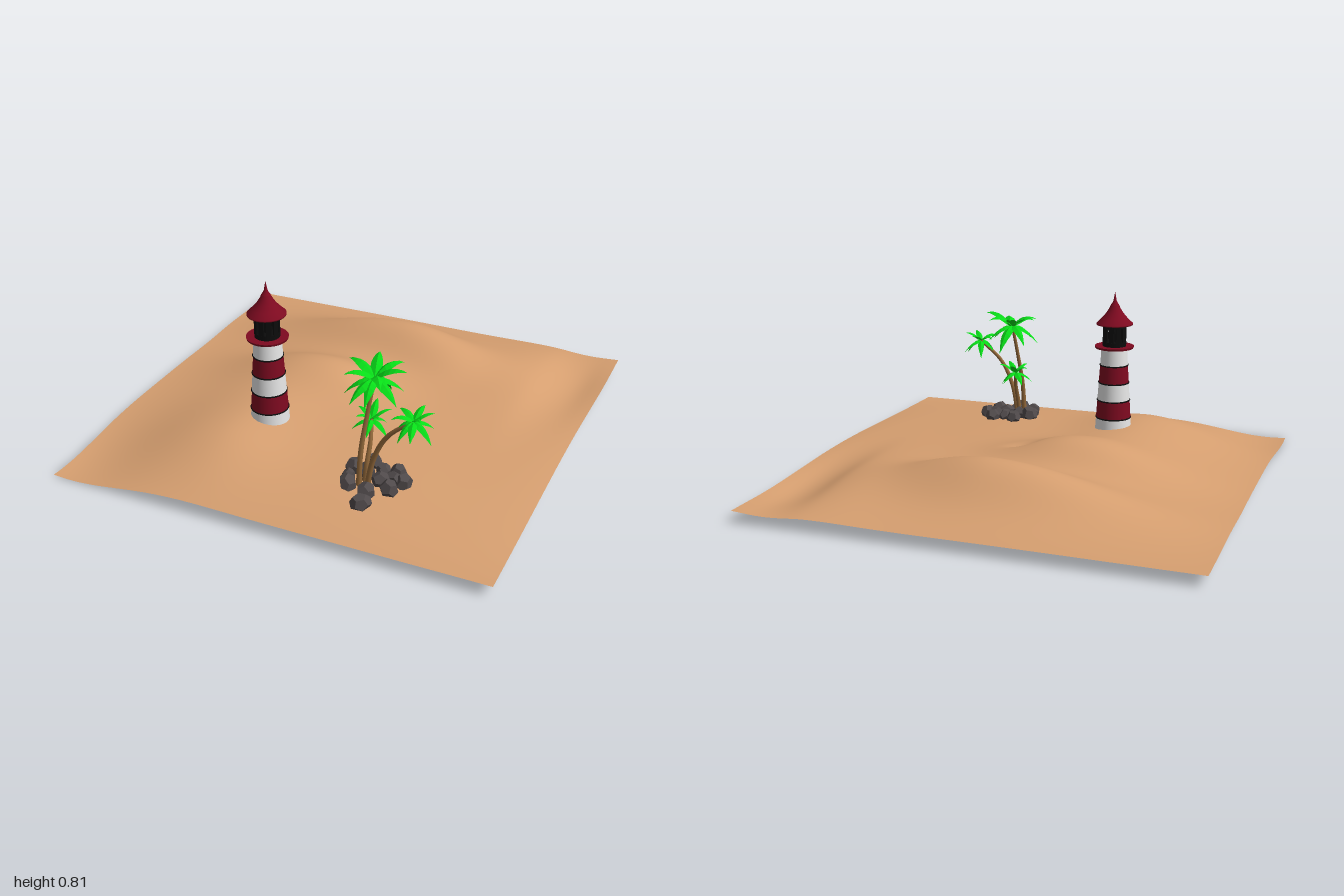
import * as THREE from 'three';

const material = (name, color, side = THREE.FrontSide, flatShading = false) =>
  Object.assign(new THREE.MeshStandardMaterial({ color, side, flatShading }), { name });

// Ground height: a gentle plateau plus dunes, each [x, z, height, left, right, back, front spread]
const DUNES = [
  [0, -0.56, 0.135, 0.4, 0.27, 0.13, 0.125],
  [0.28, -0.42, 0.025, 0.15, 0.12, 0.12, 0.09],
  [-0.2, -0.09, 0.1, 0.3, 0.22, 0.12, 0.15],
  [-0.38, 0.54, 0.075, 0.25, 0.19, 0.38, 0.2],
  [0.66, -0.5, 0.03, 0.2, 0.08, 0.3, 0.3],
  [0.05, -0.04, -0.025, 0.05, 0.05, 0.03, 0.03],
  [-0.9, 0.9, -0.05, 0.2, 0.22, 0.25, 0.2],
  [0.86, -0.65, -0.045, 0.13, 0.09, 0.2, 0.3],
  [1, -0.1, 0.03, 0.2, 0.2, 0.6, 0.5],
];
function groundHeight(x, z) {
  let y = 0.06 + 0.075 * (1 - x * x) ** (x < 0 ? 1.5 : 1) * (1 - z ** 4);
  for (const [cx, cz, h, left, right, back, front] of DUNES) {
    const u = (x - cx) / (x < cx ? left : right);
    const v = (z - cz) / (z < cz ? back : front);
    y += h * Math.exp(-(u * u + v * v) / 2);
  }
  return y;
}

function seeded(seed) {
  return () => (seed = (seed * 16807) % 2147483647) / 2147483647;
}

export function createModel() {
  const model = new THREE.Group();
  const sand = material('sand', 0xd69f70, THREE.DoubleSide);
  const white = material('white paint', 0xe6e6e6, THREE.DoubleSide);
  const red = material('red paint', 0x7e0a20, THREE.DoubleSide);
  const black = material('black metal', 0x0c0c0c);
  const bark = material('bark', 0x92683a);
  const green = material('palm green', 0x08dc18, THREE.DoubleSide, true);
  const stone = material('stone', 0x504a4b, THREE.FrontSide, true);

  const add = (parent, name, geometry, mat, x = 0, y = 0, z = 0) => {
    const mesh = new THREE.Mesh(geometry, mat);
    mesh.name = name;
    mesh.position.set(x, y, z);
    parent.add(mesh);
    return mesh;
  };
  const group = (name) => {
    const g = new THREE.Group();
    g.name = name;
    model.add(g);
    return g;
  };
  const lathe = (points) =>
    new THREE.LatheGeometry(points.map(([r, y]) => new THREE.Vector2(r, y)), 32);

  // Sand sheet
  const ground = new THREE.PlaneGeometry(1.99, 1.97, 72, 72).rotateX(-Math.PI / 2);
  const p = ground.attributes.position;
  for (let i = 0; i < p.count; i++) p.setY(i, groundHeight(p.getX(i), p.getZ(i)));
  ground.computeVertexNormals();
  add(model, 'sandDunes', ground, sand);

  // Lighthouse tower: tapering bands with dark rings between them
  const tower = group('lighthouse');
  tower.position.set(-0.25, 0, 0.385);
  const radiusAt = (y) => 0.087 - (y - 0.16) * 0.066;
  const levels = [0.15, 0.225, 0.31, 0.395, 0.48, 0.565];
  for (let i = 0; i < 5; i++) {
    const [a, b] = [levels[i], levels[i + 1]];
    const isRed = i % 2 === 1;
    add(tower, isRed ? 'redBand' : 'whiteBand',
      lathe([[radiusAt(a), a], [radiusAt(b), b]]), isRed ? red : white);
    if (i > 0) {
      add(tower, 'bandRing', new THREE.TorusGeometry(radiusAt(a), 0.0035, 6, 32)
        .rotateX(Math.PI / 2), black, 0, a, 0);
    }
  }

  // Balcony and lantern room
  add(tower, 'balcony', new THREE.CylinderGeometry(0.093, 0.09, 0.01, 32), red, 0, 0.567, 0);
  add(tower, 'lanternSill', new THREE.CylinderGeometry(0.056, 0.056, 0.022, 24), black, 0, 0.583, 0);
  add(tower, 'lanternHead', new THREE.CylinderGeometry(0.056, 0.056, 0.016, 24), black, 0, 0.668, 0);
  add(tower, 'lamp', new THREE.CylinderGeometry(0.02, 0.02, 0.08, 12), black, 0, 0.63, 0);
  for (let i = 0; i < 10; i++) {
    const a = (i / 10) * Math.PI * 2;
    const post = add(tower, 'lanternPost', new THREE.BoxGeometry(0.023, 0.08, 0.008), black,
      Math.sin(a) * 0.051, 0.63, Math.cos(a) * 0.051);
    post.rotation.y = a;
  }

  // Flared roof with a pointed finial
  add(tower, 'roof', lathe([[0, 0.676], [0.085, 0.674], [0.086, 0.68], [0.062, 0.703],
    [0.041, 0.728], [0.027, 0.75], [0.02, 0.766]]), red);
  add(tower, 'finial', lathe([[0.02, 0.766], [0.013, 0.776], [0.008, 0.787],
    [0.004, 0.808], [0, 0.828]]), red);

  // Palm trunk: a tube narrowed along its length
  function trunkGeometry(points) {
    const curve = new THREE.CatmullRomCurve3(points.map((q) => new THREE.Vector3(...q)));
    const rings = 16, sides = 8;
    const geo = new THREE.TubeGeometry(curve, rings, 0.013, sides);
    const pos = geo.attributes.position;
    const v = new THREE.Vector3();
    for (let i = 0; i < pos.count; i++) {
      const t = Math.floor(i / (sides + 1)) / rings;
      const c = curve.getPointAt(t);
      v.fromBufferAttribute(pos, i).sub(c).multiplyScalar(1 - 0.4 * t).add(c);
      pos.setXYZ(i, v.x, v.y, v.z);
    }
    return geo;
  }

  // Palm leaf: folded strip that rises, then droops to a point
  function leafGeometry(length, rise, droop) {
    const geo = new THREE.PlaneGeometry(1, 1, 2, 6).rotateX(-Math.PI / 2);
    const pos = geo.attributes.position;
    for (let i = 0; i < pos.count; i++) {
      const side = pos.getX(i) * 2;
      const t = pos.getZ(i) + 0.5;
      const half = length * 0.19 * Math.sin(Math.PI * Math.min(1, 0.08 + 0.92 * t ** 0.8));
      pos.setXYZ(i, side * half,
        length * (rise * t - droop * t * t) - Math.abs(side) * half * 0.6, length * t);
    }
    geo.computeVertexNormals();
    return geo;
  }

  const palms = [
    { path: [[0.3, 0.12, 0.65], [0.305, 0.28, 0.64], [0.32, 0.44, 0.61], [0.335, 0.59, 0.575]], leaf: 0.135, count: 13 },
    { path: [[0.34, 0.12, 0.66], [0.37, 0.27, 0.66], [0.43, 0.39, 0.66], [0.54, 0.485, 0.66]], leaf: 0.085, count: 11 },
    { path: [[0.31, 0.12, 0.61], [0.315, 0.2, 0.6], [0.315, 0.29, 0.565], [0.3, 0.365, 0.52]], leaf: 0.085, count: 10 },
  ];
  const random = seeded(42);
  for (const { path, leaf, count } of palms) {
    const palm = group('palmTree');
    add(palm, 'trunk', trunkGeometry(path), bark);
    for (let i = 0; i < count; i++) {
      // Leaves alternate between a raised and a hanging layer
      const lift = i % 2 ? 1.15 : 0.15;
      const geo = leafGeometry(leaf * (0.85 + 0.25 * random()), lift + 0.2 * random(), 0.75 + 0.35 * random());
      const frond = add(palm, 'frond', geo, green, ...path[3]);
      frond.rotation.y = ((i + 0.4 * random()) / count) * Math.PI * 2;
    }
  }

  // Rocks around the palms: [x, z, radius]
  const rocks = [[0.24, 0.56, 0.042], [0.26, 0.67, 0.042], [0.36, 0.765, 0.043], [0.35, 0.69, 0.042],
    [0.43, 0.64, 0.044], [0.465, 0.57, 0.04], [0.42, 0.51, 0.038], [0.3, 0.49, 0.036],
    [0.24, 0.62, 0.03], [0.38, 0.6, 0.042], [0.3, 0.57, 0.04], [0.43, 0.57, 0.04], [0.36, 0.53, 0.036]];
  const rockGroup = group('rocks');
  for (const [x, z, r] of rocks) {
    const rock = add(rockGroup, 'rock', new THREE.DodecahedronGeometry(r), stone,
      x, groundHeight(x, z) + r * 0.4, z);
    rock.rotation.set(random() * 3, random() * 3, random() * 3);
    rock.scale.set(1.1, 0.8 + 0.3 * random(), 0.95);
  }
  return model;
}
